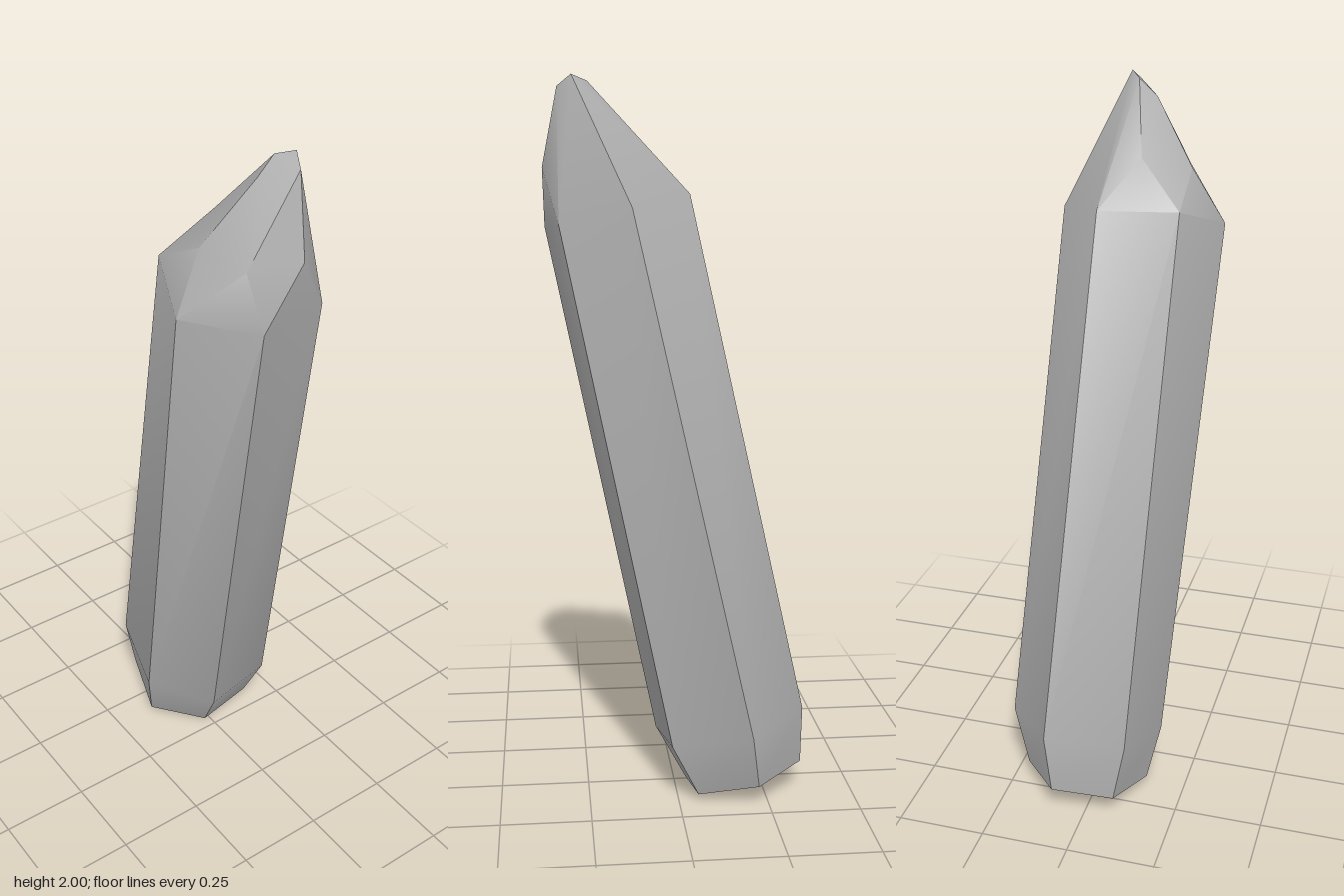
import * as THREE from 'three';
import { toCreasedNormals } from 'three/addons/utils/BufferGeometryUtils.js';

// Build a creased mesh from polygons, each a list of corner points
function facetMesh(name, polygons, material, crease) {
  const pos = [];
  for (const poly of polygons) {
    for (let i = 1; i < poly.length - 1; i++) pos.push(...poly[0], ...poly[i], ...poly[i + 1]);
  }
  const geo = new THREE.BufferGeometry();
  geo.setAttribute('position', new THREE.Float32BufferAttribute(pos, 3));
  const mesh = new THREE.Mesh(toCreasedNormals(geo, crease), material);
  mesh.name = name;
  return mesh;
}

export function createModel() {
  const stone = new THREE.MeshStandardMaterial({ color: 0xb0b0b0 });
  stone.name = 'grey crystal';

  // Six-sided cross-sections of the leaning shaft, anticlockwise from above
  const base = [
    [-0.357, 0.08, -0.09], [-0.33, 0.065, 0.085], [-0.155, 0.027, 0.14],
    [-0.035, 0, 0.015], [-0.055, 0.02, -0.155], [-0.22, 0.058, -0.205],
  ];
  const lower = [
    [-0.357, 0.25, -0.11], [-0.33, 0.24, 0.118], [-0.115, 0.18, 0.172],
    [0.05, 0.15, 0.04], [0.02, 0.17, -0.17], [-0.195, 0.22, -0.255],
  ];
  const upper = [
    [-0.04, 1.69, -0.04], [0, 1.69, 0.17], [0.193, 1.62, 0.252],
    [0.35, 1.6, 0.11], [0.314, 1.61, -0.095], [0.125, 1.655, -0.18],
  ];

  const faces = [[...base].reverse()];
  for (const [a, b] of [[base, lower], [lower, upper]]) {
    for (let i = 0; i < 6; i++) {
      const j = (i + 1) % 6;
      faces.push([a[i], a[j], b[j], b[i]]);
    }
  }

  // Irregular cut point: shoulder corners, then the small ridge on top
  const [u0, u1, u2, u3, u4, u5] = upper;
  const left = [0.07, 1.81, 0.05], front = [0.165, 1.77, 0.165];
  const right = [0.305, 1.75, 0.13], side = [0.355, 1.76, 0];
  const peak = [0.275, 2, -0.03], ridge = [0.232, 1.985, 0];
  const brow = [0.235, 1.94, 0.05], tip = [0.313, 1.97, -0.013];
  faces.push(
    [u0, u1, left], [u1, front, left], [u1, u2, front], [u2, right, front],
    [u2, u3, right], [u3, side, right], [u3, u4, side], [u4, tip, side],
    [u4, u5, peak], [u4, peak, tip], [u5, u0, peak],
    [u0, left, ridge], [u0, ridge, peak],
    [left, front, brow], [left, brow, ridge], [front, right, brow],
    [right, tip, brow], [right, side, tip],
    [ridge, brow, tip], [ridge, tip, peak],
  );

  const group = new THREE.Group();
  group.name = 'crystal';
  group.add(facetMesh('crystalShard', faces, stone, 0.62));
  return group;
}
